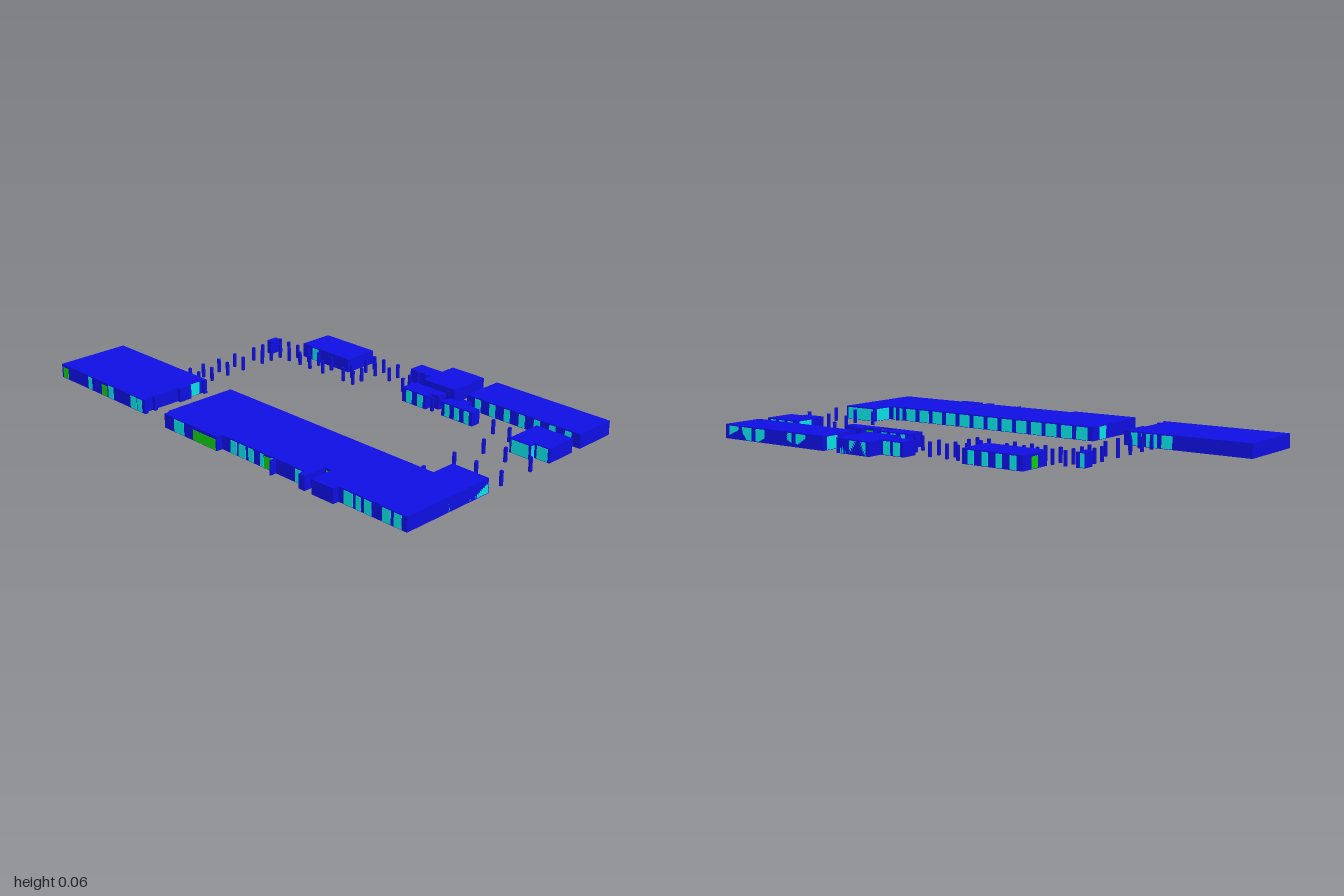
import * as THREE from 'three';

const H = 0.06;
const blue = new THREE.MeshStandardMaterial({ color: 0x0f0fe6 });
const cyan = new THREE.MeshStandardMaterial({ color: 0x0ae6e6 });
const green = new THREE.MeshStandardMaterial({ color: 0x10d010 });

export function createModel() {
  const root = new THREE.Group();
  root.name = 'campus';

  // Building block extruded upward from a plan outline of [x, z] corners
  function block(name, plan) {
    const shape = new THREE.Shape(plan.map(([x, z]) => new THREE.Vector2(x, -z)));
    const geo = new THREE.ExtrudeGeometry(shape, { depth: H, bevelEnabled: false });
    geo.rotateX(-Math.PI / 2);
    const mesh = new THREE.Mesh(geo, blue);
    mesh.name = name;
    root.add(mesh);
  }
  const rect = (x0, x1, z0, z1) => [[x0, z0], [x1, z0], [x1, z1], [x0, z1]];

  function box(name, mat, x0, x1, z0, z1, y0 = 0, y1 = H) {
    const mesh = new THREE.Mesh(new THREE.BoxGeometry(x1 - x0, y1 - y0, z1 - z0), mat);
    mesh.position.set((x0 + x1) / 2, (y0 + y1) / 2, (z0 + z1) / 2);
    mesh.name = name;
    root.add(mesh);
  }

  // Thin glazing or door panels, just proud of a wall along x or along z
  const T = 0.0015;
  const panelX = (z, x0, x1, mat = cyan, top = 0.055) =>
    box(mat === green ? 'door' : 'window', mat, x0, x1, z - T, z + T, 0.002, top);
  const panelZ = (x, z0, z1, mat = cyan, top = 0.055) =>
    box(mat === green ? 'door' : 'window', mat, x - T, x + T, z0, z1, 0.002, top);

  // Row of equal windows along x with blue piers between them
  function bays(z, x0, x1, n, fill = 0.7) {
    const step = (x1 - x0) / n;
    for (let i = 0; i < n; i++) {
      const c = x0 + (i + 0.5) * step;
      panelX(z, c - step * fill / 2, c + step * fill / 2);
    }
  }

  // Main blocks
  block('westBlock', rect(-1, -0.44, 0.24, 0.565));
  block('mainBlock', [
    [-0.275, 0.24], [0.83, 0.24], [0.83, 0.135], [1, 0.135], [1, 0.565],
    [0.675, 0.565], [0.675, 0.592], [0.565, 0.592], [0.565, 0.49], [0.53, 0.49],
    [0.53, 0.592], [0.5, 0.592], [0.5, 0.565], [0.05, 0.565], [0.05, 0.592],
    [-0.265, 0.592], [-0.265, 0.565], [-0.275, 0.565],
  ]);
  block('northEastBlock', rect(0.44, 1, -0.6, -0.41));
  block('northBlock', [
    [0.2, -0.6], [0.37, -0.6], [0.37, -0.41], [0.2, -0.41],
    [0.2, -0.46], [0.085, -0.46], [0.085, -0.53], [0.2, -0.53],
  ]);
  block('northWestBlock', rect(-0.46, -0.18, -0.505, -0.35));
  block('kiosk', rect(-0.605, -0.58, -0.315, -0.265));

  // Small courtyard blocks
  block('courtBlockWest', [
    [0.2, -0.36], [0.37, -0.36], [0.37, -0.315], [0.33, -0.315], [0.33, -0.28], [0.2, -0.28],
  ]);
  block('courtBlockMiddle', [
    [0.415, -0.33], [0.46, -0.33], [0.46, -0.36], [0.505, -0.36],
    [0.505, -0.325], [0.575, -0.325], [0.575, -0.28], [0.415, -0.28],
  ]);
  block('courtBlockEast', [
    [0.83, -0.36], [1, -0.36], [1, -0.22], [0.93, -0.22], [0.93, -0.195], [0.83, -0.195],
  ]);

  // Front windows and doors
  for (const [x0, x1] of [[-0.81, -0.785], [-0.67, -0.635], [-0.52, -0.48], [-0.475, -0.445]])
    panelX(0.565, x0, x1);
  panelX(0.565, -0.99, -0.955, green, 0.048);
  panelX(0.565, -0.715, -0.68, green, 0.048);
  panelX(0.592, -0.205, -0.145);
  panelX(0.592, -0.09, 0.043, green, 0.046);
  for (const [x0, x1] of [[0.1, 0.135], [0.145, 0.185], [0.2, 0.23], [0.265, 0.285],
    [0.325, 0.342], [0.455, 0.49], [0.7, 0.745], [0.76, 0.785], [0.8, 0.835], [0.885, 0.925], [0.94, 0.975]])
    panelX(0.565, x0, x1);
  panelX(0.565, 0.287, 0.325, green, 0.05);
  panelX(0.49, 0.538, 0.558, green, 0.05);
  box('entranceFin', blue, 0.345, 0.351, 0.565, 0.592);

  // East wing glazing
  for (const [z0, z1] of [[0.345, 0.49], [0.235, 0.34], [0.138, 0.23]]) panelZ(1 - T, z0, z1);
  panelX(0.135, 0.84, 0.99);
  panelZ(0.83, 0.15, 0.23);

  // Rear glazing of the large blocks
  bays(0.24, -0.26, 0.82, 14);
  bays(0.24, -0.66, -0.45, 3);
  bays(-0.6 + T, 0.45, 0.99, 7);
  bays(-0.6 + T, 0.21, 0.36, 3);
  bays(-0.41, 0.46, 0.98, 7, 0.4);
  panelZ(0.44, -0.58, -0.52);
  panelZ(-0.275, 0.29, 0.34);
  panelZ(-0.44, 0.27, 0.33);

  // Glazing of the smaller blocks
  bays(-0.505, -0.45, -0.19, 4, 0.45);
  panelX(-0.35, -0.4, -0.365);
  panelZ(-0.46, -0.45, -0.41, green, 0.048);
  bays(-0.53, 0.095, 0.195, 2);
  bays(-0.28, 0.21, 0.33, 2, 0.5);
  bays(-0.36, 0.21, 0.36, 3, 0.5);
  panelX(-0.33, 0.42, 0.455, green, 0.05);
  bays(-0.28, 0.42, 0.57, 3, 0.5);
  bays(-0.36, 0.84, 0.99, 3, 0.6);
  panelX(-0.195, 0.84, 0.92);
  panelX(-0.22, 0.94, 0.99);
  panelZ(0.93, -0.215, -0.198);
  panelZ(0.83, -0.34, -0.27);
  panelX(-0.315, -0.602, -0.583);
  box('courtWall', blue, 0.33, 0.415, -0.283, -0.279, 0.054);

  // Covered-walk columns
  const column = (x, z, s = 0.0055) => box('column', blue, x - s, x + s, z - s, z + s);
  for (const x of [-0.125, -0.07, 0.013, 0.13, 0.175]) [-0.458, -0.404].forEach((z) => column(x, z));
  for (const x of [0.135, 0.175]) column(x, -0.356);
  for (const x of [-0.52, -0.462, -0.393, -0.33, -0.25, -0.125, -0.068])
    [-0.318, -0.265].forEach((z) => column(x, z));
  column(-0.576, -0.318);
  column(-0.576, -0.265);
  for (const z of [-0.21, -0.157, -0.045, 0.045, 0.133, 0.205])
    [-0.576, -0.52].forEach((x) => column(x, z));
  for (const x of [0.77, 0.875, 0.992]) [-0.115, 0.055].forEach((z) => column(x, z));
  for (const [x, z] of [[0.678, -0.285], [0.77, -0.27], [0.77, 0.225], [0.36, -0.287]]) column(x, z);

  // Wall piers facing the passage between the front blocks
  for (const [z0, z1] of [[0.24, 0.255], [0.325, 0.385], [0.5, 0.515], [0.55, 0.565]]) {
    box('passagePier', blue, -0.44, -0.425, z0, z1);
  }
  return root;
}
